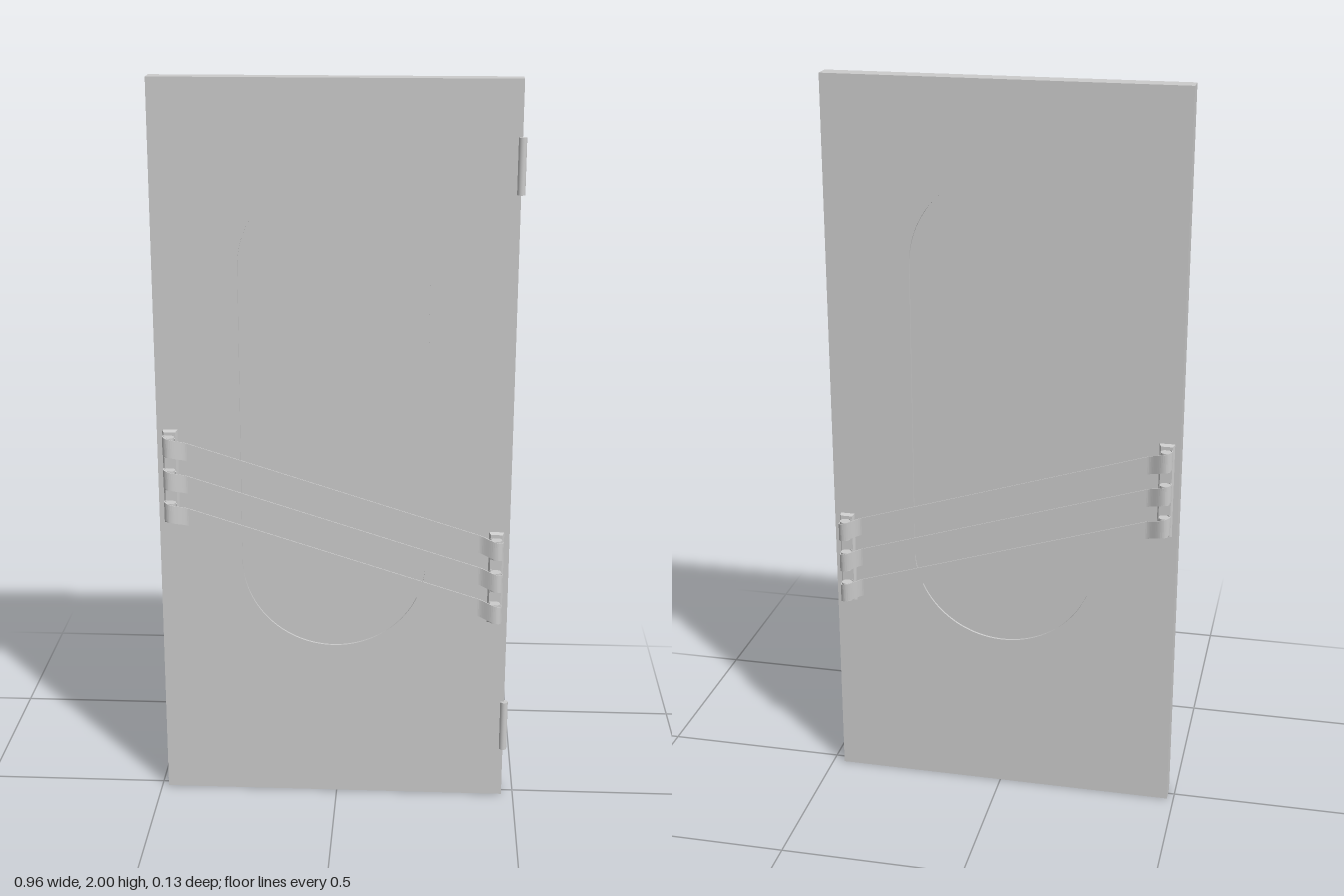
import * as THREE from 'three';

const material = new THREE.MeshStandardMaterial({ color: 0xcccccc, side: THREE.DoubleSide });
const MID_Z = -0.002; // middle of the door slab
const HALF = 0.026; // half its thickness
const KNOB_X = [-0.447, 0.433];
const SLOPE = -0.276 / (KNOB_X[1] - KNOB_X[0]); // straps run downhill towards the hinges

function add(parent, name, geometry, x = 0, y = 0, z = 0) {
  const mesh = new THREE.Mesh(geometry, material);
  mesh.name = name;
  mesh.position.set(x, y, z);
  parent.add(mesh);
  return mesh;
}

// Rectangle with rounded ends, used for the window
function stadium(path, cx, r, bottom, top) {
  path.moveTo(cx + r, bottom + r);
  path.lineTo(cx + r, top - r);
  path.absarc(cx, top - r, r, 0, Math.PI);
  path.lineTo(cx - r, bottom + r);
  path.absarc(cx, bottom + r, r, Math.PI, Math.PI * 2);
  return path;
}

// Extrude between two z planes
function slab(shape, depth) {
  const g = new THREE.ExtrudeGeometry(shape, { depth, bevelEnabled: false, curveSegments: 28 });
  return g.translate(0, 0, -depth / 2);
}

// Plan outline of a strap: wraps both knobs, dips to a flat run between them.
// Returned points are [x, distance out from the door centre].
function strapPath() {
  const r = 0.0165, out = 0.049, end = [];
  for (let i = 0; i <= 20; i++) { // around the left knob, from its inner side
    const a = -0.3 - (i / 20) * 4.45;
    end.push([KNOB_X[0] + r * Math.cos(a), out + r * Math.sin(a)]);
  }
  for (let i = 1; i <= 10; i++) { // smooth shoulder down to the flat run
    const t = i / 10, s = t * t * (3 - 2 * t);
    end.push([KNOB_X[0] + 0.001 + 0.047 * t, out + 0.0165 * (1 - s)]);
  }
  const mid = KNOB_X[0] + KNOB_X[1];
  return [...end, ...end.map(([x, z]) => [mid - x, z]).reverse()];
}

// Thin closed ribbon with a rectangular section, sheared along the slope
function strapGeometry(height, thickness) {
  const path = strapPath(), pos = [], index = [];
  path.forEach(([x, z], i) => {
    const a = path[Math.max(i - 1, 0)], b = path[Math.min(i + 1, path.length - 1)];
    const dx = b[0] - a[0], dz = b[1] - a[1], l = Math.hypot(dx, dz) || 1;
    const y = (x - KNOB_X[0]) * SLOPE;
    for (const [side, up] of [[1, -1], [1, 1], [-1, 1], [-1, -1]]) {
      pos.push(x - (dz / l) * side * thickness / 2, y + up * height / 2, z + (dx / l) * side * thickness / 2);
    }
    if (i > 0) {
      for (let k = 0; k < 4; k++) {
        const p = (i - 1) * 4 + k, q = (i - 1) * 4 + (k + 1) % 4;
        index.push(p, p + 4, q, q, p + 4, q + 4);
      }
    }
  });
  const n = pos.length / 3 - 4;
  index.push(0, 1, 2, 0, 2, 3, n, n + 2, n + 1, n, n + 3, n + 2);
  const g = new THREE.BufferGeometry();
  g.setAttribute('position', new THREE.Float32BufferAttribute(pos, 3));
  g.setIndex(index);
  const flat = g.toNonIndexed();
  flat.computeVertexNormals();
  return flat;
}

// Mounting plate with sloping edges
function plateGeometry(w, h, d) {
  const g = new THREE.BoxGeometry(w, h, d);
  const p = g.attributes.position;
  for (let i = 0; i < p.count; i++) {
    if (p.getZ(i) > 0) p.setXY(i, p.getX(i) * 0.75, p.getY(i) * 0.96);
  }
  const flat = g.toNonIndexed();
  flat.computeVertexNormals();
  return flat;
}

// One full handle: two plates, six knobs and three straps
function makeHandle(name) {
  const handle = new THREE.Group();
  handle.name = name;
  const strap = strapGeometry(0.05, 0.003);
  const knob = new THREE.CylinderGeometry(0.0145, 0.0145, 0.054, 24);
  const plate = plateGeometry(0.042, 0.265, 0.011);
  KNOB_X.forEach((x, side) => {
    const drop = side * -0.276;
    add(handle, 'mountingPlate', plate, x, 0.94 + drop, HALF + 0.0045);
    for (let i = 0; i < 3; i++) {
      const y = 1.031 - i * 0.0925 + drop;
      add(handle, 'knob', knob, x, y, 0.049);
      add(handle, 'knobStem', new THREE.BoxGeometry(0.012, 0.03, 0.016), x, y, 0.034);
    }
  });
  for (let i = 0; i < 3; i++) add(handle, 'strap', strap, 0, 1.031 - i * 0.0925, 0);
  return handle;
}

export function createModel() {
  const model = new THREE.Group();
  model.name = 'door';

  // Door leaf with a long round-ended opening
  const leaf = new THREE.Shape([
    new THREE.Vector2(-0.482, 0), new THREE.Vector2(0.468, 0),
    new THREE.Vector2(0.468, 2), new THREE.Vector2(-0.482, 2),
  ]);
  leaf.holes.push(stadium(new THREE.Path(), -0.008, 0.25, 0.452, 1.766));
  add(model, 'doorLeaf', slab(leaf, HALF * 2), 0, 0, MID_Z);

  // Window pane, slightly recessed on both faces
  const pane = stadium(new THREE.Shape(), -0.008, 0.25, 0.452, 1.766);
  add(model, 'windowPane', slab(pane, HALF * 2 - 0.012), 0, 0, MID_Z);

  // Handles on both faces; the back one is turned over by mirroring in z
  const front = makeHandle('frontHandle');
  const back = makeHandle('backHandle');
  front.position.z = back.position.z = MID_Z;
  back.scale.z = -1;
  model.add(front, back);

  // Hinge barrels
  for (const y of [0.218, 1.783]) {
    add(model, 'hinge', new THREE.CylinderGeometry(0.0105, 0.0105, 0.145, 20), 0.468, y, 0.0245);
  }
  return model;
}
